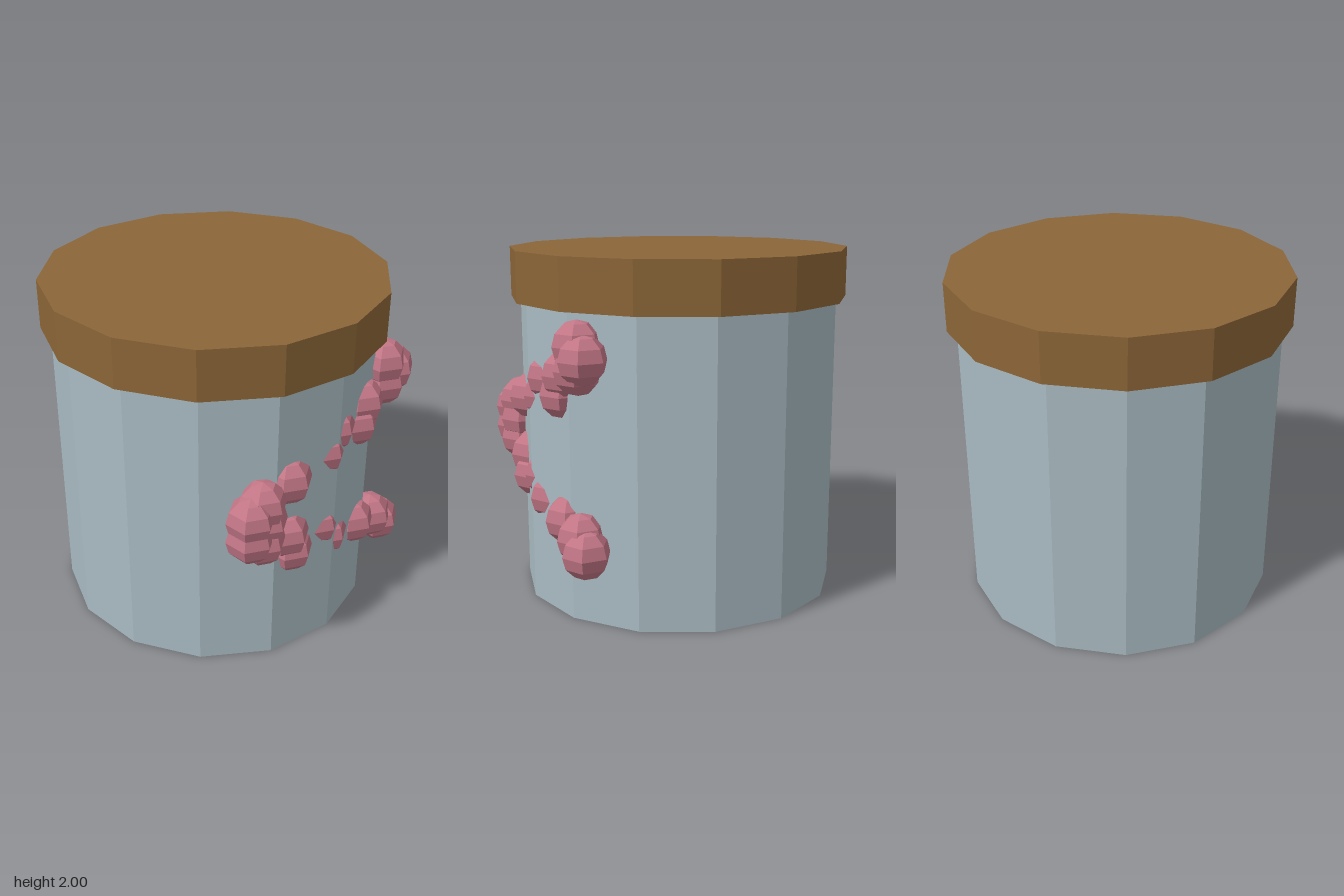
import * as THREE from 'three';

const paint = (name, color) => {
  const m = new THREE.MeshStandardMaterial({ color, flatShading: true });
  m.name = name;
  return m;
};

export function createModel() {
  const steel = paint('pale blue grey', 0xa9bbc2);
  const wood = paint('brown', 0x8b6537);
  const pink = paint('dusty pink', 0xc27686);

  const model = new THREE.Group();
  model.name = 'jar';

  // Fourteen-sided drum standing from one height to another
  const drum = (name, radius, bottom, top, material) => {
    const mesh = new THREE.Mesh(
      new THREE.CylinderGeometry(radius, radius, top - bottom, 14), material);
    mesh.name = name;
    mesh.position.y = (bottom + top) / 2;
    model.add(mesh);
  };
  drum('body', 0.925, 0, 1.72, steel);
  drum('lid', 0.98, 1.715, 2, wood);

  // Bead centres, following the curve on the front from upper to lower end
  const centres = [
    [0.5, 1.545], [0.582, 1.48], [0.51, 1.42], [0.32, 1.365], [0.275, 1.25],
    [0.065, 1.31], [-0.012, 1.195], [-0.29, 1.135], [-0.493, 1.075],
    [-0.585, 1.02], [-0.482, 0.96], [-0.585, 0.9], [-0.495, 0.84],
    [-0.295, 0.785], [-0.255, 0.667], [-0.03, 0.727], [0.06, 0.612],
    [0.318, 0.553], [0.503, 0.5], [0.582, 0.433],
  ];

  // Six-sided beads with a corner facing forward, half sunk into the body
  const bead = new THREE.SphereGeometry(0.137, 6, 6).rotateY(Math.PI / 2);
  const beads = new THREE.Group();
  beads.name = 'beads';
  for (const [x, y] of centres) {
    const mesh = new THREE.Mesh(bead, pink);
    mesh.name = 'bead';
    mesh.position.set(x, y, 0.817);
    beads.add(mesh);
  }
  model.add(beads);

  return model;
}
